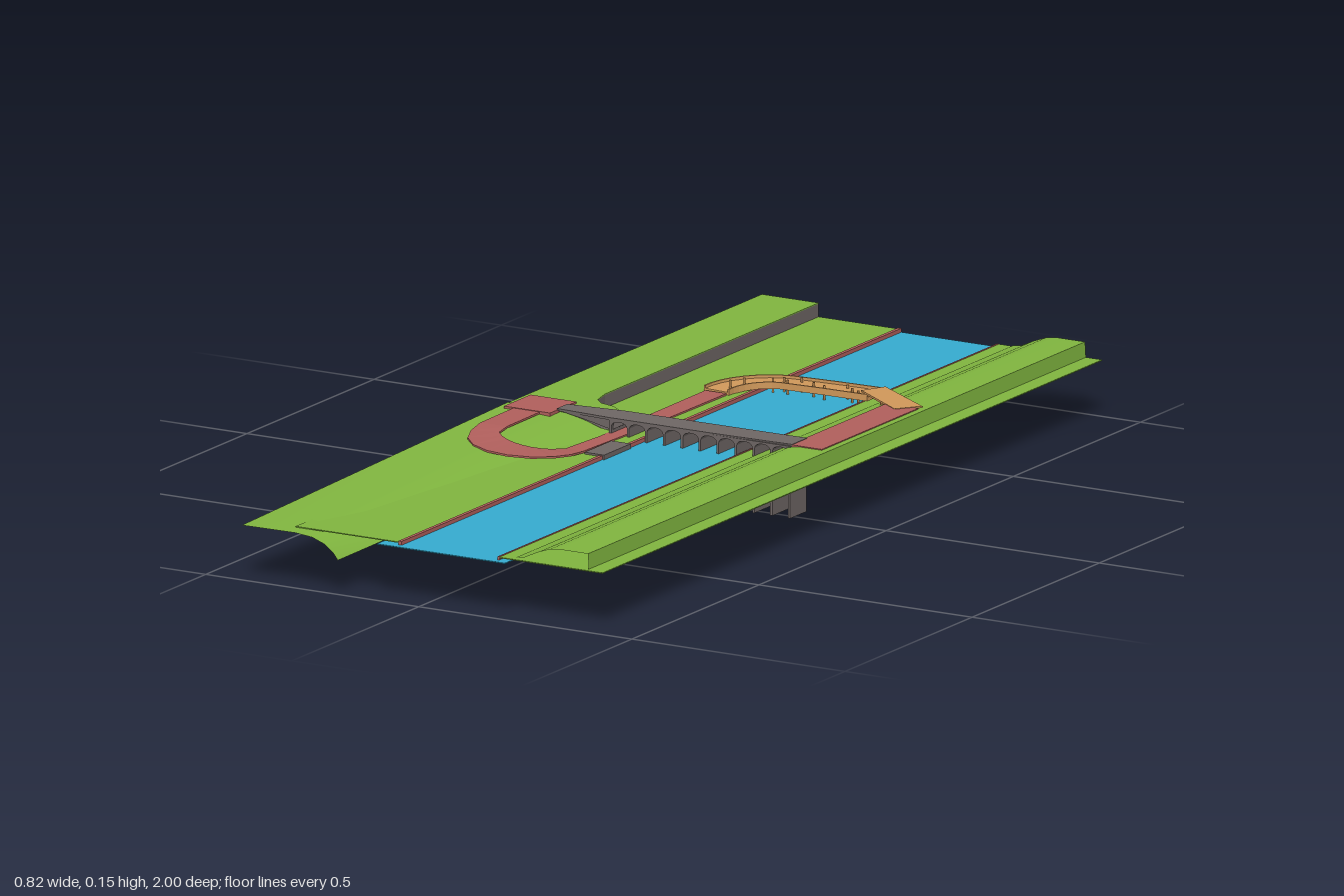
import * as THREE from 'three';

const mat = (name, color) => {
  const m = new THREE.MeshStandardMaterial({ color, side: THREE.DoubleSide });
  m.name = name;
  return m;
};

export function createModel() {
  const root = new THREE.Group();
  root.name = 'riverCrossing';
  const green = mat('grass', 0x80b53f), blue = mat('water', 0x35abcf), red = mat('redPath', 0xb05f5c);
  const wood = mat('wood', 0xd0985a), grey = mat('stone', 0x6e6664);

  const add = (name, geo, material, parent = root) => {
    const m = new THREE.Mesh(geo, material);
    m.name = name;
    parent.add(m);
    return m;
  };
  const box = (name, x0, x1, y0, y1, z0, z1, material, parent) => {
    const g = new THREE.BoxGeometry(x1 - x0, y1 - y0, z1 - z0);
    g.translate((x0 + x1) / 2, (y0 + y1) / 2, (z0 + z1) / 2);
    return add(name, g, material, parent);
  };
  // Skin over equal-length rows of points
  const loft = (rows, flat = true) => {
    const n = rows[0].length, idx = [];
    for (let i = 0; i < rows.length - 1; i++)
      for (let j = 0; j < n - 1; j++) {
        const a = i * n + j, b = a + n;
        idx.push(a, b, a + 1, a + 1, b, b + 1);
      }
    let g = new THREE.BufferGeometry();
    g.setAttribute('position', new THREE.Float32BufferAttribute(rows.flat(2), 3));
    g.setIndex(idx);
    if (flat) g = g.toNonIndexed();
    g.computeVertexNormals();
    return g;
  };
  // Flat-topped strip along [x, y, z, width] points, shifted sideways by off widths
  const ribbon = (pts, thick, off = 0, width = 0, lift = 0) => {
    const rows = pts.map(([x, y, z, w], i) => {
      const a = pts[Math.max(i - 1, 0)], b = pts[Math.min(i + 1, pts.length - 1)];
      const d = Math.hypot(b[0] - a[0], b[2] - a[2]);
      const sx = -(b[2] - a[2]) / d, sz = (b[0] - a[0]) / d;
      const hw = (width || w) / 2, c = off * w, t = y + lift;
      const p = (s, yy) => [x + sx * (c + s * hw), yy, z + sz * (c + s * hw)];
      return [p(1, t), p(-1, t), p(-1, t - thick), p(1, t - thick), p(1, t)];
    });
    const cap = (r) => [[r[0], r[0], r[0]], [r[1], r[2], r[3]]];
    const parts = [rows, cap(rows[0]), cap(rows[rows.length - 1])].map((r) => loft(r));
    const all = parts.flatMap((g) => Array.from(g.attributes.position.array));
    const g = new THREE.BufferGeometry();
    g.setAttribute('position', new THREE.Float32BufferAttribute(all, 3));
    g.computeVertexNormals();
    return g;
  };
  // Plan outline in x, z pulled down from a top height
  const slab = (outline, top, depth) => {
    const s = new THREE.Shape(outline.map(([x, z]) => new THREE.Vector2(x, z)));
    const g = new THREE.ExtrudeGeometry(s, { depth, bevelEnabled: false });
    g.rotateX(Math.PI / 2);
    g.translate(0, top, 0);
    return g;
  };

  // River and its kerbs
  box('river', -0.11, 0.19, 0.11, 0.112, -1, 0.98, blue);
  box('leftKerb', -0.069, -0.061, 0.108, 0.12, -1, 0.965, red);
  box('rightKerb', 0.164, 0.168, 0.108, 0.119, -1, 0.965, red);

  // Low banks beside the water
  box('leftBank', -0.31, -0.069, 0.116, 0.118, -1, 0.965, green);
  box('rightBank', 0.168, 0.41, 0.116, 0.118, -1, 0.965, green);

  // Raised dyke on the right bank
  const dyke = [[0.2, 0.119], [0.22, 0.122], [0.25, 0.136], [0.28, 0.147], [0.3, 0.15], [0.37, 0.15]];
  add('dyke', loft([-1, 0.955].map((z) => dyke.map(([x, y]) => [x, y, z])), false), green);
  add('dykeWall', loft([-1, 0.955].map((z) => [[0.37, 0.15, z], [0.372, 0.118, z]])), green);

  // Left plateau with stone sides
  const plateau = [[-0.388, -1], [-0.255, -1], [-0.255, -0.16], [-0.245, -0.115], [-0.225, -0.095],
    [-0.19, -0.085], [-0.165, -0.065], [-0.15, -0.02], [-0.2, 0], [-0.388, 0]];
  add('plateauStone', slab(plateau, 0.145, 0.033), grey);
  add('plateauGrass', slab(plateau, 0.147, 0.002), green);

  // Hillside falling away to the front
  const back = [[-0.388, 0.148], [-0.3, 0.147], [-0.25, 0.144], [-0.21, 0.136], [-0.17, 0.124], [-0.11, 0.117]];
  const front = [[-0.415, 0.114], [-0.29, 0.115], [-0.25, 0.111], [-0.22, 0.1], [-0.2, 0.084], [-0.19, 0.071]];
  const hill = [];
  for (let i = 0; i <= 8; i++) {
    const t = i / 8;
    hill.push(back.map(([x, y], j) => [x + (front[j][0] - x) * t, y + (front[j][1] - y) * t, t]));
  }
  add('hillside', loft(hill, false), green);

  // Stone bridge: deck, ramped abutment, thin piers and arches
  const bridge = new THREE.Group();
  bridge.name = 'bridge';
  root.add(bridge);
  const z0 = -0.047, z1 = 0.016;
  add('deck', slab([[-0.268, -0.033], [-0.14, z0], [0.285, z0 - 0.003], [0.285, 0.01], [0.1, z1], [-0.14, z1], [-0.268, 0.008]],
    0.153, 0.005), grey, bridge);
  const ramp = new THREE.Shape([[-0.266, 0.15], [-0.14, 0.15], [-0.1, 0.146], [-0.138, 0.126], [-0.2, 0.139]]
    .map(([x, y]) => new THREE.Vector2(x, y)));
  const rampGeo = new THREE.ExtrudeGeometry(ramp, { depth: 0.045, bevelEnabled: false });
  rampGeo.translate(0, 0, -0.036);
  add('abutment', rampGeo, grey, bridge);
  const step = 0.042, firstX = -0.138;
  for (let i = 0; i <= 10; i++) {
    const x = firstX + i * step;
    box('pier', x - 0.0025, x + 0.0025, 0, 0.149, z0, z1, grey, bridge);
    if (i === 10) continue;
    const s = new THREE.Shape();
    s.moveTo(x, 0.15);
    s.lineTo(x, 0.136);
    s.lineTo(x + 0.003, 0.136);
    s.quadraticCurveTo(x + 0.004, 0.145, x + step / 2, 0.146);
    s.quadraticCurveTo(x + step - 0.004, 0.145, x + step - 0.003, 0.136);
    s.lineTo(x + step, 0.136);
    s.lineTo(x + step, 0.15);
    const g = new THREE.ExtrudeGeometry(s, { depth: z1 - z0, bevelEnabled: false, curveSegments: 5 });
    g.translate(0, 0, z0);
    add('arch', g, grey, bridge);
  }

  // Red landing block and paths
  box('landing', -0.373, -0.265, 0.102, 0.151, -0.065, 0.04, red);
  box('landingBase', -0.373, -0.265, 0.1, 0.102, -0.065, 0.04, grey);
  box('rightPath', 0.28, 0.355, 0.148, 0.152, -0.37, 0.01, red);
  const loop = [[-0.12, 0.122, -0.37, 0.05], [-0.122, 0.121, -0.1, 0.046], [-0.125, 0.121, 0.05, 0.038],
    [-0.13, 0.122, 0.17, 0.042]];
  for (let i = 1; i <= 8; i++) {
    const a = (i / 9) * Math.PI;
    loop.push([-0.225 + 0.095 * Math.cos(a), 0.124 + 0.0027 * i, 0.18 + 0.095 * Math.sin(a), 0.045 + 0.04 * Math.sin(a)]);
  }
  loop.push([-0.32, 0.149, 0.17, 0.062], [-0.32, 0.15, 0.03, 0.062]);
  add('loopPath', ribbon(loop, 0.004), red);

  // Wooden footbridge with side rails and piles
  const foot = new THREE.Group();
  foot.name = 'footbridge';
  root.add(foot);
  const walk = [];
  for (let i = 0; i <= 8; i++) {
    const a = (i / 8) * (Math.PI / 2);
    walk.push([-0.02 - 0.102 * Math.cos(a), 0.124 + 0.001 * i, -0.375 - 0.103 * Math.sin(a), 0.062]);
  }
  walk.push([0.08, 0.134, -0.478, 0.064], [0.19, 0.135, -0.478, 0.066]);
  add('footDeck', ribbon(walk, 0.008), wood, foot);
  for (const s of [-0.47, 0.47]) add('footRail', ribbon(walk, 0.012, s, 0.004, 0.006), wood, foot);
  add('footRamp', slab([[0.355, -0.385], [0.318, -0.338], [0.185, -0.43], [0.212, -0.48]], 0.153, 0.004), wood, foot);
  const piles = [[-0.105, -0.4], [-0.09, -0.43], [-0.04, -0.46], [-0.023, -0.475], [-0.005, -0.46], [0.01, -0.49],
    [0.05, -0.47], [0.08, -0.46], [0.118, -0.49], [0.14, -0.47], [0.16, -0.46], [0.188, -0.49], [0.22, -0.45]];
  for (const [x, z] of piles) {
    const g = new THREE.CylinderGeometry(0.0025, 0.0025, 0.05, 6);
    g.translate(x, x > 0.2 ? 0.125 : 0.117, z);
    add('pile', g, wood, foot);
  }

  // Small stone jetty
  box('jetty', -0.103, -0.057, 0.096, 0.122, 0.07, 0.176, grey);
  return root;
}
